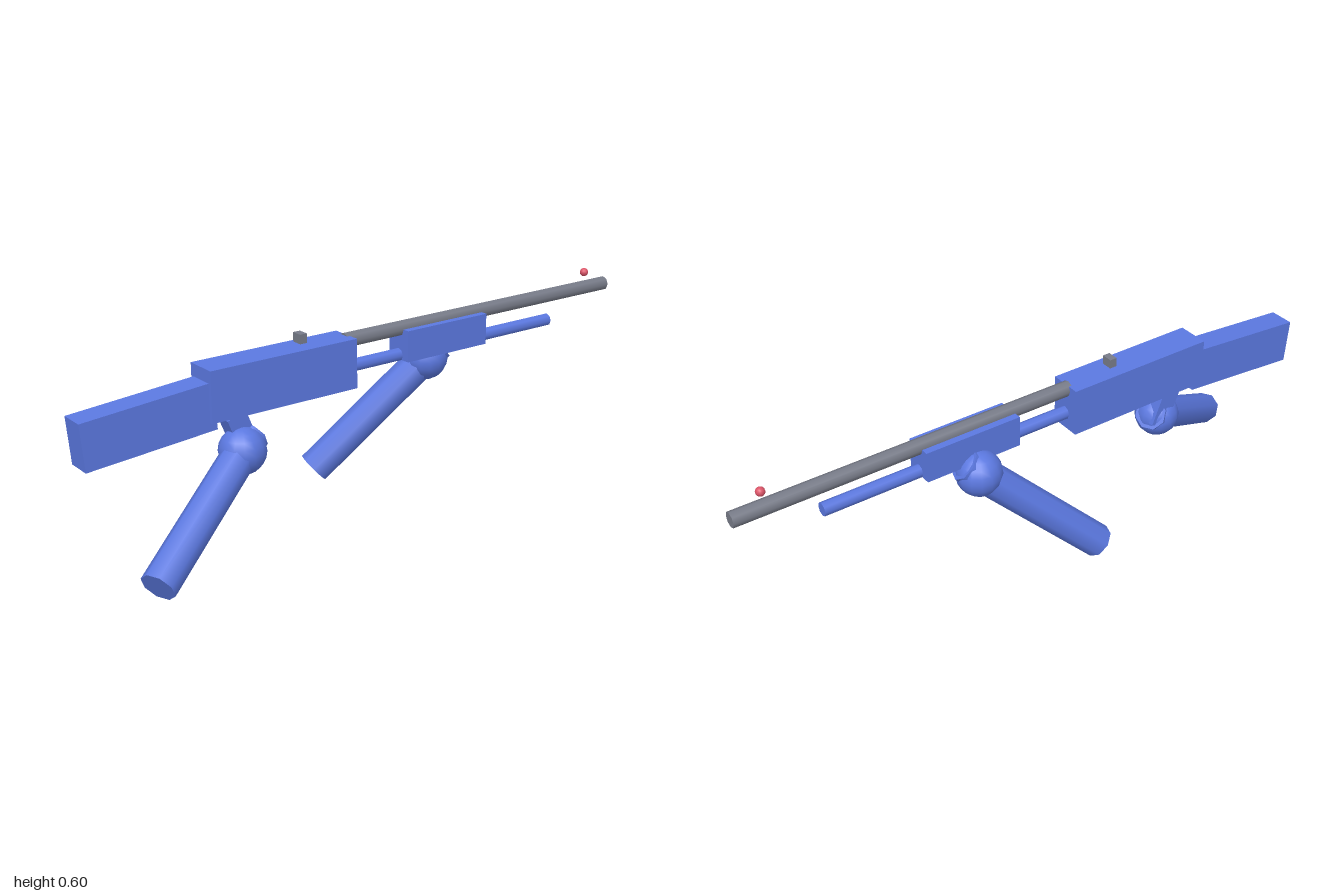
import * as THREE from 'three';

const paint = (color) => new THREE.MeshStandardMaterial({ color });

export function createModel() {
  const model = new THREE.Group();
  const blue = paint(0x5b78e0);
  const steel = paint(0x777b88);
  const red = paint(0xdc5468);
  const midX = -0.02; // centre line of the gun

  const add = (name, geometry, material, x, y, z) => {
    const mesh = new THREE.Mesh(geometry, material);
    mesh.name = name;
    mesh.position.set(x, y, z);
    model.add(mesh);
    return mesh;
  };
  const box = (name, material, w, h, d, y, z, x = midX) =>
    add(name, new THREE.BoxGeometry(w, h, d), material, x, y, z);

  // Cylinder running between two points
  const rod = (name, material, radius, from, to, sides = 8) => {
    const axis = to.clone().sub(from);
    const mid = from.clone().add(to).multiplyScalar(0.5);
    const geometry = new THREE.CylinderGeometry(radius, radius, axis.length(), sides);
    const mesh = add(name, geometry, material, mid.x, mid.y, mid.z);
    mesh.quaternion.setFromUnitVectors(new THREE.Vector3(0, 1, 0), axis.normalize());
    return mesh;
  };
  const v = (x, y, z) => new THREE.Vector3(x, y, z);

  // Body, sloping stock and sliding pump
  box('receiver', blue, 0.106, 0.155, 0.505, 0.478, 0.3525);
  box('stock', blue, 0.082, 0.142, 0.41, 0.4315, 0.791).rotation.x = 0.076;
  box('pump', blue, 0.093, 0.1, 0.32, 0.49, -0.26);

  // Leaning grip under the receiver
  box('grip', blue, 0.055, 0.13, 0.065, 0.337, 0.486).rotation.x = 0.38;

  // Barrel and magazine tube
  rod('barrel', steel, 0.024, v(midX, 0.539, 0.11), v(midX, 0.539, -1));
  rod('magazineTube', blue, 0.021, v(midX, 0.455, 0.11), v(midX, 0.455, -0.735));

  // Sights
  box('rearSight', steel, 0.036, 0.029, 0.024, 0.578, 0.268);
  add('frontBead', new THREE.SphereGeometry(0.014, 12, 8), red, midX, 0.592, -0.905);

  // Each hand is a ball with an arm passing through it
  const arm = (side, hand, end) => {
    const back = hand.clone().sub(end).setLength(0.058).add(hand);
    add(side + 'Hand', new THREE.SphereGeometry(0.072, 14, 10), blue, hand.x, hand.y, hand.z);
    rod(side + 'Arm', blue, 0.053, back, end);
  };
  arm('left', v(0.005, 0.286, 0.493), v(0.198, 0.049, 0.89));
  arm('right', v(-0.07, 0.405, -0.249), v(-0.2, 0.067, 0.103));

  return model;
}
